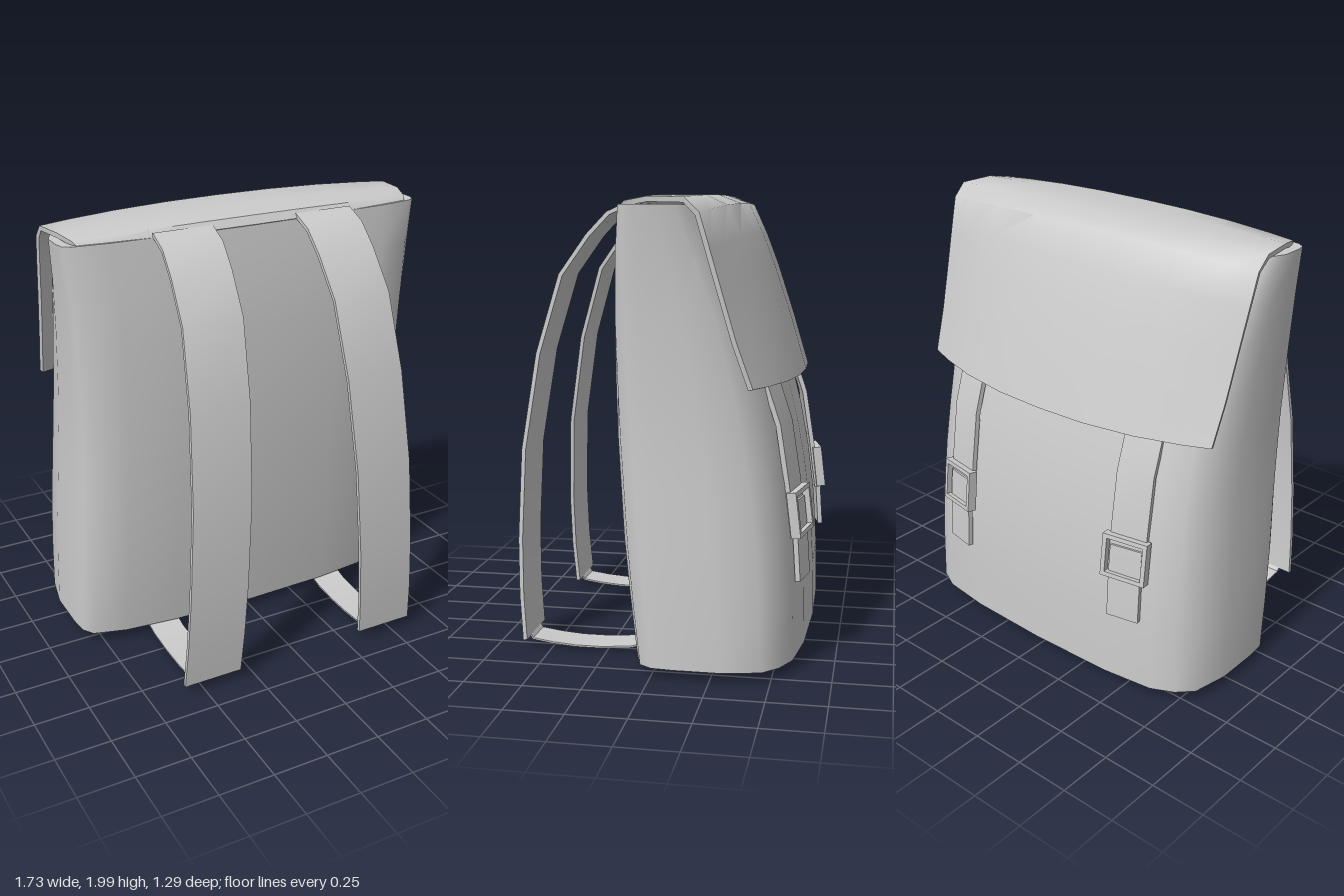
import * as THREE from 'three';
import { toCreasedNormals } from 'three/addons/utils/BufferGeometryUtils.js';

const material = new THREE.MeshStandardMaterial({ color: 0xcccccc, side: THREE.DoubleSide });

function mesh(name, geometry) {
  const m = new THREE.Mesh(geometry, material);
  m.name = name;
  return m;
}

function gridGeometry(rows, index) {
  const g = new THREE.BufferGeometry();
  g.setAttribute('position', new THREE.Float32BufferAttribute(rows.flat(2), 3));
  g.setIndex(index);
  g.computeVertexNormals();
  return g;
}

// Triangles joining neighbouring rows of points
function gridIndex(nr, nc, closed = false) {
  const index = [];
  for (let i = 0; i < nr - 1; i++)
    for (let j = 0; j < (closed ? nc : nc - 1); j++) {
      const k = (j + 1) % nc;
      const a = i * nc + j, b = i * nc + k, c = a + nc, d = b + nc;
      index.push(a, b, d, a, d, c);
    }
  return index;
}

// Sheet of even thickness grown inwards from rows of outer points
function slab(rows, thickness, crease = 0.8) {
  const nr = rows.length, nc = rows[0].length, n = nr * nc;
  const index = gridIndex(nr, nc);
  const normal = gridGeometry(rows, index).attributes.normal;
  const inner = rows.map((row, i) => row.map((p, j) => {
    const k = i * nc + j;
    return [p[0] - normal.getX(k) * thickness, p[1] - normal.getY(k) * thickness, p[2] - normal.getZ(k) * thickness];
  }));
  const all = [...index];
  for (let k = 0; k < index.length; k += 3) all.push(index[k] + n, index[k + 2] + n, index[k + 1] + n);
  const edge = [];
  for (let j = 0; j < nc; j++) edge.push(j);
  for (let i = 1; i < nr; i++) edge.push(i * nc + nc - 1);
  for (let j = nc - 2; j >= 0; j--) edge.push((nr - 1) * nc + j);
  for (let i = nr - 2; i > 0; i--) edge.push(i * nc);
  edge.forEach((a, k) => {
    const b = edge[(k + 1) % edge.length];
    all.push(a, a + n, b, b, a + n, b + n);
  });
  return toCreasedNormals(gridGeometry([...rows, ...inner], all), crease);
}

// Bag: one rounded section lofted through changing depth and width
function createBag() {
  // share of half width, share of depth from front to back
  const half = [[0, 0], [0.48, 0.015], [0.77, 0.05], [0.95, 0.11], [0.99, 0.18], [1, 0.3], [1, 0.57],
    [0.96, 0.79], [0.88, 0.88], [0.76, 0.945], [0.48, 0.985], [0, 1]];
  const section = [...half, ...half.slice(1, -1).reverse().map(([x, t]) => [-x, t])];
  // height, front z, back z, half width
  const levels = [[0.05, 0.13, -0.62, 0.84], [0.3, 0.16, -0.615, 0.837], [0.55, 0.185, -0.6, 0.83],
    [0.8, 0.2, -0.568, 0.82], [1.0, 0.21, -0.53, 0.815], [1.2, 0.213, -0.48, 0.815],
    [1.5, 0.21, -0.385, 0.825], [1.75, 0.19, -0.28, 0.842], [1.95, 0.16, -0.18, 0.865]];
  const ring = ([y, front, back, w], scale = 1) => section.map(([x, t]) => {
    const mid = (front + back) / 2;
    return [x * w * scale, y, mid + (front + (back - front) * t - mid) * scale];
  });
  const top = levels[levels.length - 1];
  const rows = [
    ring([0.006, ...levels[0].slice(1)], 0),
    ring([0.012, ...levels[0].slice(1)], 0.55),
    ...levels.map(l => ring(l)),
    ring([1.94, ...top.slice(1)], 0),
  ];
  const index = gridIndex(rows.length, section.length, true);
  return mesh('bag', toCreasedNormals(gridGeometry(rows, index), 0.9));
}

// Flap: bowed sheet from the front rim over the top and down the back
function createFlap() {
  // middle z and y, end z and y, half width
  const profile = [[0.165, 1.95, 0.115, 1.95, 0.8], [0.14, 1.985, 0.1, 1.965, 0.81], [0, 2, 0, 1.982, 0.84],
    [-0.2, 2, -0.15, 1.978, 0.86], [-0.3, 1.965, -0.21, 1.92, 0.858], [-0.365, 1.83, -0.25, 1.78, 0.85],
    [-0.42, 1.69, -0.295, 1.62, 0.84], [-0.5, 1.45, -0.355, 1.41, 0.828], [-0.57, 1.215, -0.42, 1.225, 0.815]];
  const across = [-1, -0.85, -0.6, -0.3, 0, 0.3, 0.6, 0.85, 1];
  const rows = profile.map(([z, y, ze, ye, w]) => across.map(u => {
    const k = Math.abs(u) ** 2.3;
    return [u * w, y + (ye - y) * k, z + (ze - z) * k];
  }));
  return mesh('flap', slab(rows, 0.022));
}

// Shoulder strap with a narrow strap returning under the bag
function createShoulderStrap(s) {
  const g = new THREE.Group();
  g.name = s > 0 ? 'leftShoulderStrap' : 'rightShoulderStrap';
  const path = [[1.97, 0.15], [1.925, 0.25], [1.83, 0.34], [1.66, 0.46], [1.32, 0.56], [0.9, 0.625],
    [0.5, 0.64], [0.25, 0.635], [0.05, 0.62]];
  const band = path.map(([y, z]) => {
    const x = s * (0.34 + 0.115 * (1.97 - y) / 1.92);
    return [[x + 0.138, y, z], [x - 0.138, y, z]];
  });
  const lower = [[0.06, 0.615], [0.032, 0.595], [0.018, 0.5], [0.01, 0.4], [0.01, 0.28], [0.02, 0.15], [0.045, 0.05]];
  const webbing = lower.map(([y, z]) => [[s * 0.455 + 0.075, y, z], [s * 0.455 - 0.075, y, z]]);
  g.add(mesh('paddedBand', slab(band, 0.018)), mesh('lowerWebbing', slab(webbing, 0.008)));
  return g;
}

// Closing strap with buckle on the back
function createBuckleStrap(s) {
  const g = new THREE.Group();
  g.name = s > 0 ? 'leftBuckleStrap' : 'rightBuckleStrap';
  const strip = (path, w) => slab(path.map(([y, z]) =>
    [-w, 0, w].map(d => [s * 0.51 + d, y, z + s * d * 0.2])), 0.022);
  g.add(mesh('closingStrap', strip([[1.3, -0.45], [1.2, -0.478], [1.05, -0.528], [0.8, -0.567], [0.57, -0.596]], 0.085)));
  g.add(mesh('strapTip', strip([[0.72, -0.588], [0.58, -0.603], [0.38, -0.616]], 0.075)));

  const frame = new THREE.Shape([[-0.106, -0.098], [0.106, -0.098], [0.106, 0.098], [-0.106, 0.098]]
    .map(p => new THREE.Vector2(...p)));
  frame.holes.push(new THREE.Path([[-0.086, -0.078], [-0.086, 0.078], [0.086, 0.078], [0.086, -0.078]]
    .map(p => new THREE.Vector2(...p))));
  const buckle = mesh('buckle', new THREE.ExtrudeGeometry(frame, { depth: 0.042, bevelEnabled: false }).translate(0, 0, -0.021));
  buckle.position.set(s * 0.51, 0.672, -0.592);
  buckle.rotation.set(0.12, -s * 0.2, 0);
  g.add(buckle);
  return g;
}

export function createModel() {
  const model = new THREE.Group();
  model.name = 'backpack';
  model.add(createBag(), createFlap());
  for (const s of [1, -1]) model.add(createShoulderStrap(s), createBuckleStrap(s));
  return model;
}
